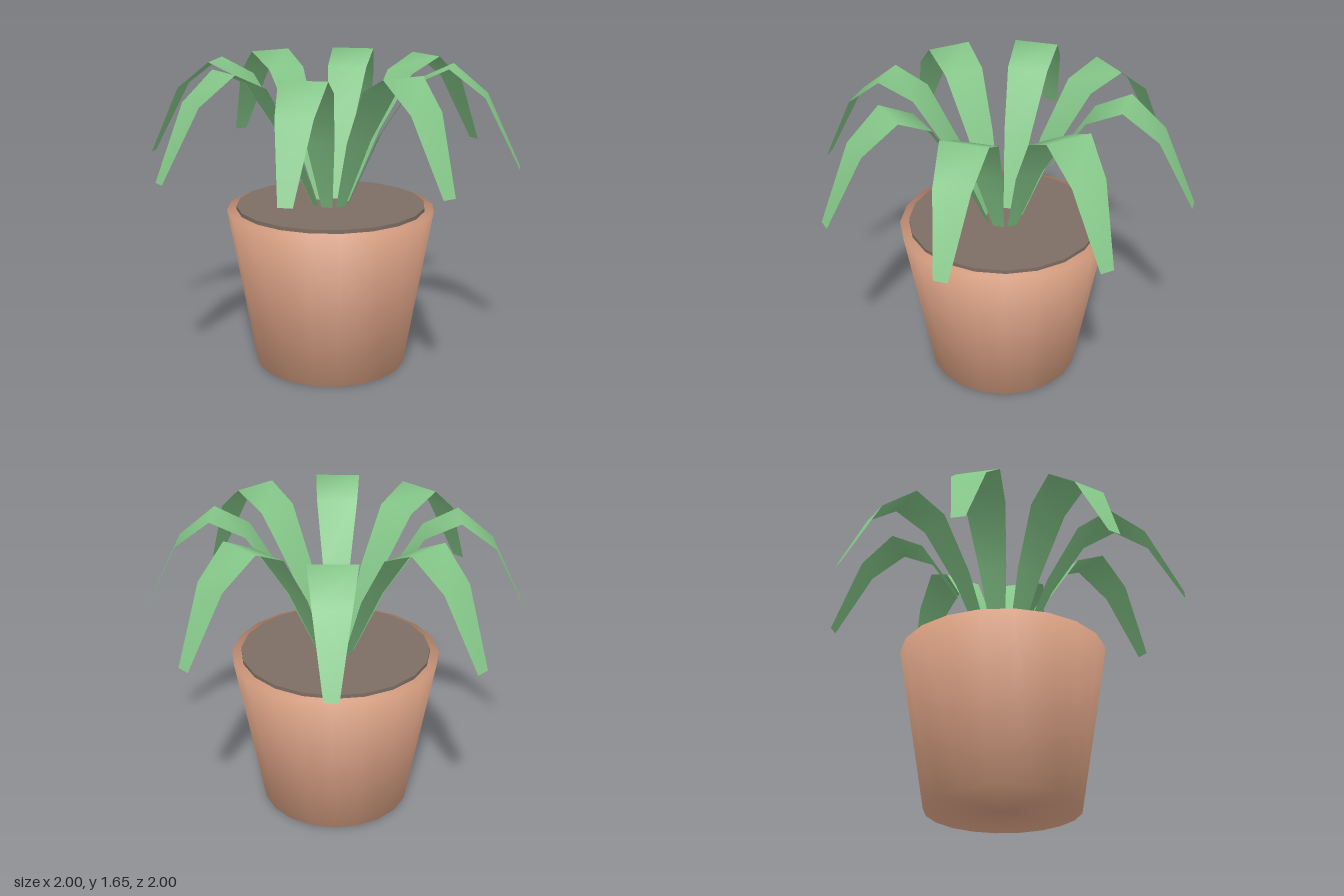
import * as THREE from 'three';

const SIDES = 20;

// Leaf stations from root to tip: [distance from centre, height, half width]
const LEAF = [
  [0.09, 0.88, 0.028],
  [0.265, 1.28, 0.075],
  [0.45, 1.57, 0.11],
  [0.63, 1.655, 0.12],
  [0.815, 1.51, 0.092],
  [1.0, 1.14, 0.036],
];

// Arching ribbon pointing along +z
function leafGeometry() {
  const geometry = new THREE.PlaneGeometry(1, 1, 1, LEAF.length - 1);
  const position = geometry.attributes.position;
  LEAF.forEach(([r, y, w], i) => {
    position.setXYZ(i * 2, -w, y, r);
    position.setXYZ(i * 2 + 1, w, y, r);
  });
  geometry.computeVertexNormals();
  return geometry;
}

export function createModel() {
  const terracotta = new THREE.MeshStandardMaterial({ color: 0xd9a083 });
  terracotta.name = 'terracotta';
  const earth = new THREE.MeshStandardMaterial({ color: 0x7d6e63 });
  earth.name = 'earth brown';
  const green = new THREE.MeshStandardMaterial({ color: 0x84c688, side: THREE.DoubleSide });
  green.name = 'leaf green';

  const plant = new THREE.Group();
  plant.name = 'pottedPlant';

  // Tapered pot, softly shaded over base and rim
  const profile = [[0, 0], [0.41, 0], [0.56, 0.875], [0, 0.875]].map(([x, y]) => new THREE.Vector2(x, y));
  const pot = new THREE.Mesh(new THREE.LatheGeometry(profile, SIDES), terracotta);
  pot.name = 'pot';
  plant.add(pot);

  // Soil disc standing just above the rim
  const soil = new THREE.Mesh(new THREE.CylinderGeometry(0.51, 0.51, 0.04, SIDES), earth);
  soil.name = 'soil';
  soil.position.y = 0.875;
  plant.add(soil);

  // Eight leaves fanned around the centre
  const leaves = new THREE.Group();
  leaves.name = 'leaves';
  const geometry = leafGeometry();
  for (let i = 0; i < 8; i++) {
    const leaf = new THREE.Mesh(geometry, green);
    leaf.name = 'leaf' + (i + 1);
    leaf.rotation.y = (i * Math.PI) / 4;
    leaves.add(leaf);
  }
  plant.add(leaves);

  return plant;
}
